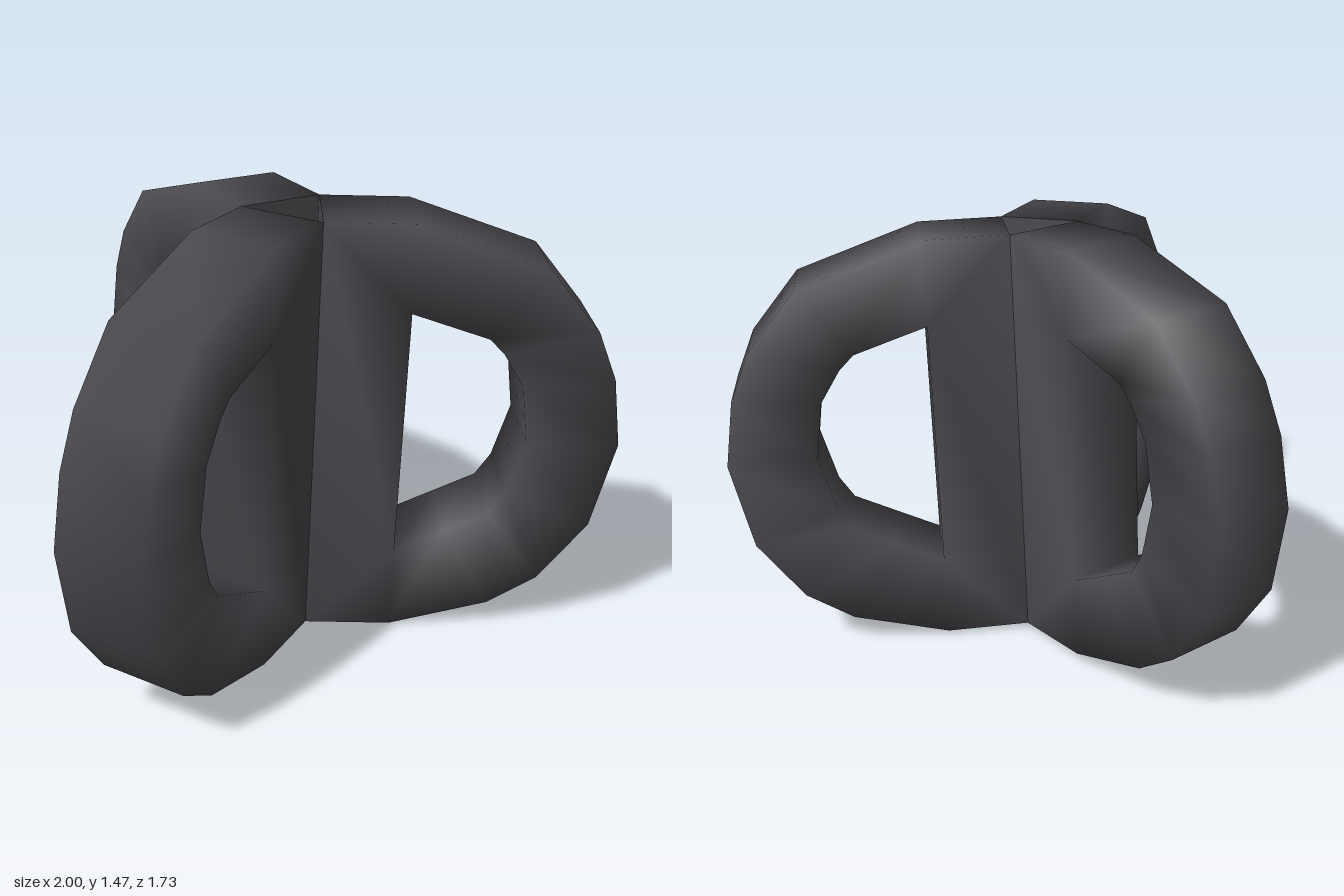
import * as THREE from 'three';
import { mergeVertices } from 'three/addons/utils/BufferGeometryUtils.js';

const HALF = 0.143; // half the thickness of each loop
const INNER_R = 0.082; // distance of each pillar from the central axis
const BOTTOM = 0.022, TOP = 1.46;

// Outer and inner rim of one D-shaped loop: [outer r, outer y, inner r, inner y]
const SECTIONS = [
  [INNER_R, BOTTOM, 0.37, 0.31],
  [0.37, BOTTOM, 0.37, 0.31],
  [0.70, 0.115, 0.53, 0.39],
  [0.86, 0.22, 0.67, 0.46],
  [1.01, 0.43, 0.72, 0.54],
  [1.07, 0.73, 0.77, 0.73],
  [1.03, 0.96, 0.74, 0.93],
  [0.96, 1.12, 0.67, 1.04],
  [0.79, 1.32, 0.62, 1.09],
  [0.37, TOP, 0.37, 1.17],
  [INNER_R, TOP, 0.37, 1.17],
];

// Closed band with a rectangular section and softly shaded edges
function loopGeometry() {
  const positions = [], index = [], n = SECTIONS.length;
  for (const [ro, yo, ri, yi] of SECTIONS) {
    positions.push(ri, yi, HALF, ro, yo, HALF, ro, yo, -HALF, ri, yi, -HALF);
  }
  for (let i = 0; i < n; i++) {
    const a = i * 4, b = ((i + 1) % n) * 4;
    for (let k = 0; k < 4; k++) {
      if (i === n - 1 && k === 1) continue; // the flat core wall closes this side
      const m = (k + 1) % 4;
      index.push(a + m, b + m, b + k, a + m, b + k, a + k);
    }
  }
  const geometry = new THREE.BufferGeometry();
  geometry.setAttribute('position', new THREE.Float32BufferAttribute(positions, 3));
  geometry.setIndex(index);
  const merged = mergeVertices(geometry, 1e-4);
  merged.computeVertexNormals();
  return merged;
}

export function createModel() {
  const darkGrey = new THREE.MeshStandardMaterial({ color: 0x4b4b50 });
  darkGrey.name = 'darkGrey';

  const band = loopGeometry();
  const wall = new THREE.PlaneGeometry(HALF * 2, TOP - BOTTOM);

  // Three loops around a triangular core
  const trio = new THREE.Group();
  trio.name = 'loopTrio';
  const arms = { backLoop: 90, leftLoop: -30, rightLoop: 210 };
  for (const [name, degrees] of Object.entries(arms)) {
    const arm = new THREE.Group();
    arm.name = name;
    const ring = new THREE.Mesh(band, darkGrey);
    ring.name = 'loopBand';
    const core = new THREE.Mesh(wall, darkGrey);
    core.name = 'coreWall';
    core.position.set(INNER_R, (TOP + BOTTOM) / 2, 0);
    core.rotation.y = -Math.PI / 2;
    arm.add(ring, core);
    arm.position.set(0, -0.735, 0.2);
    arm.rotation.y = THREE.MathUtils.degToRad(degrees);
    trio.add(arm);
  }

  // The whole piece leans slightly forward
  trio.position.y = 0.735;
  trio.rotation.x = 0.045;

  const model = new THREE.Group();
  model.name = 'tripleLoop';
  model.add(trio);
  return model;
}
